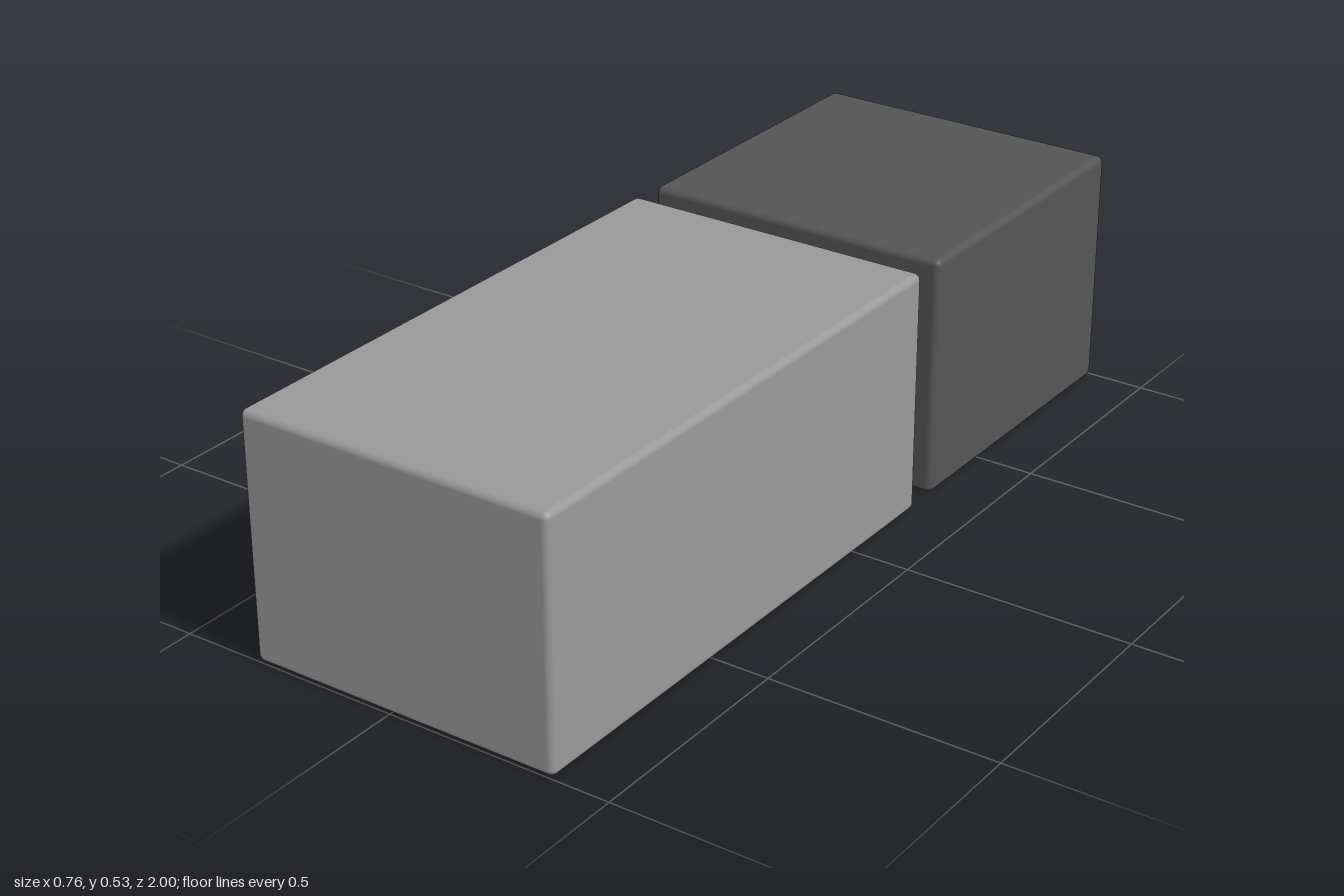
import * as THREE from 'three';
import { RoundedBoxGeometry } from 'three/addons/geometries/RoundedBoxGeometry.js';

const RADIUS = 0.015;  // soft edges of the bodies
const RECESS = 0.04;   // how deep the panels sit in the door frames

const mat = (color) => new THREE.MeshStandardMaterial({ color });

function addMesh(parent, name, geometry, material, x = 0, y = 0, z = 0) {
  const mesh = new THREE.Mesh(geometry, material);
  mesh.name = name;
  mesh.position.set(x, y, z);
  parent.add(mesh);
  return mesh;
}

// Rounded box whose flat -x face is left open for the door frame
function openBody(w, h, d) {
  const box = new RoundedBoxGeometry(w, h, d, 4, RADIUS);
  const pos = box.attributes.position, nor = box.attributes.normal;
  const points = [], normals = [];
  for (let i = 0; i < pos.count; i += 3) {
    const tri = [i, i + 1, i + 2];
    if (tri.every((k) => pos.getX(k) < -w / 2 + 1e-4)) continue;
    for (const k of tri) {
      points.push(pos.getX(k), pos.getY(k), pos.getZ(k));
      normals.push(nor.getX(k), nor.getY(k), nor.getZ(k));
    }
  }
  const geometry = new THREE.BufferGeometry();
  geometry.setAttribute('position', new THREE.Float32BufferAttribute(points, 3));
  geometry.setAttribute('normal', new THREE.Float32BufferAttribute(normals, 3));
  return geometry;
}

function rectangle(path, z0, y0, z1, y1) {
  path.moveTo(z0, y0);
  path.lineTo(z1, y0);
  path.lineTo(z1, y1);
  path.lineTo(z0, y1);
  path.closePath();
  return path;
}

// Turned knob pointing to -x: thin stem, wide head with a small chamfer
function knobGeometry() {
  const profile = [
    [0, 0], [0.023, 0], [0.023, 0], [0.023, 0.028], [0.023, 0.028], [0.034, 0.028], [0.034, 0.028],
    [0.036, 0.03], [0.036, 0.03], [0.036, 0.052], [0.036, 0.052], [0.034, 0.054], [0.034, 0.054], [0, 0.054],
  ].map(([r, y]) => new THREE.Vector2(r, y));
  // each straight run is its own strip so the edges stay sharp
  const strips = [];
  for (let i = 0; i < profile.length; i += 2) {
    strips.push(new THREE.LatheGeometry([profile[i], profile[i + 1]], 32).rotateZ(Math.PI / 2));
  }
  return strips;
}

function cabinet({ name, x0, x1, height, z0, z1, windows, knobs, colors }) {
  const group = new THREE.Group();
  group.name = name;
  const w = x1 - x0, d = z1 - z0;
  addMesh(group, 'body', openBody(w, height, d), mat(colors.body), (x0 + x1) / 2, height / 2, (z0 + z1) / 2);

  // Door frame with a hole for every window
  const shape = rectangle(new THREE.Shape(), z0 + RADIUS, RADIUS, z1 - RADIUS, height - RADIUS);
  for (const [a, b] of windows) shape.holes.push(rectangle(new THREE.Path(), a, 0.07, b, 0.47));
  const frame = new THREE.ExtrudeGeometry(shape, { depth: RECESS, bevelEnabled: false });
  frame.rotateY(-Math.PI / 2);
  addMesh(group, 'doorFrame', frame, mat(colors.frame), x0 + RECESS);

  // Recessed panels
  for (const [a, b] of windows) {
    const panel = new THREE.BoxGeometry(0.01, 0.42, b - a + 0.02);
    addMesh(group, 'doorPanel', panel, mat(colors.panel), x0 + RECESS + 0.005, 0.27, (a + b) / 2);
  }

  // Knobs
  for (const z of knobs) {
    const knob = new THREE.Group();
    knob.name = 'knob';
    knob.position.set(x0 + 0.001, 0.298, z);
    const material = mat(colors.knob);
    knobGeometry().forEach((strip) => addMesh(knob, 'knobSurface', strip, material));
    group.add(knob);
  }
  return group;
}

export function createModel() {
  const model = new THREE.Group();
  model.name = 'cabinets';

  model.add(cabinet({
    name: 'doubleCabinet', x0: -0.327, x1: 0.378, height: 0.533, z0: -0.228, z1: 1,
    windows: [[-0.145, 0.3], [0.465, 0.91]], knobs: [0.345, 0.425],
    colors: { body: 0x999999, frame: 0x999999, panel: 0x222222, knob: 0xcccccc },
  }));

  model.add(cabinet({
    name: 'singleCabinet', x0: -0.327, x1: 0.375, height: 0.53, z0: -1, z1: -0.297,
    windows: [[-0.915, -0.4]], knobs: [-0.357],
    colors: { body: 0x555555, frame: 0xcccccc, panel: 0x999999, knob: 0x1a1a1a },
  }));

  return model;
}
